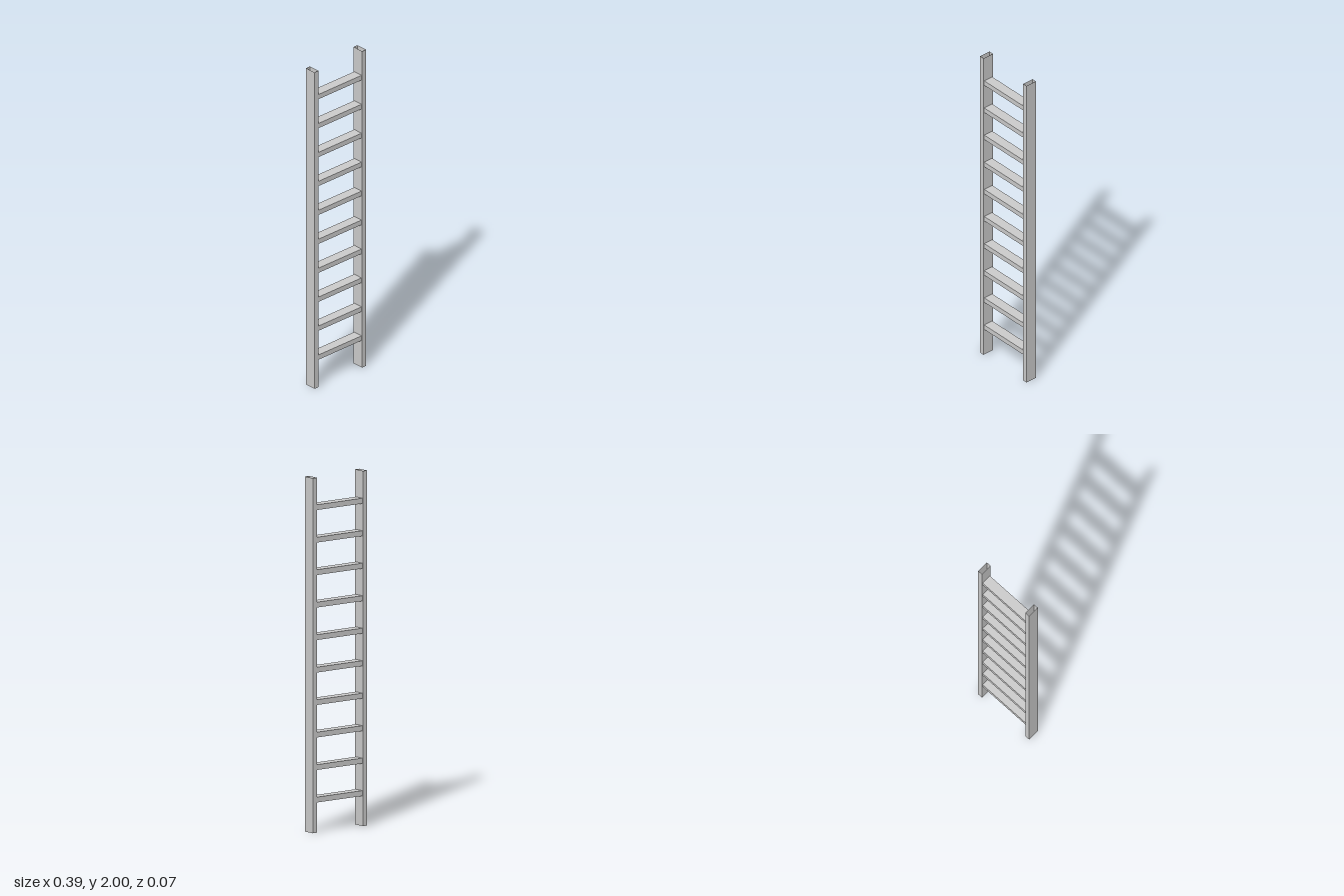
import * as THREE from 'three';

const HEIGHT = 2, RUNGS = 10, FIRST_RUNG = 0.184, RUNG_STEP = 0.183;

// Open-ended rectangular tube along y
function boxTube(width, length, depth) {
  return new THREE.CylinderGeometry(Math.SQRT1_2, Math.SQRT1_2, 1, 4, 1, true)
    .rotateY(Math.PI / 4)
    .scale(width, length, depth);
}

export function createModel() {
  const ladder = new THREE.Group();
  ladder.name = 'ladder';
  const material = new THREE.MeshStandardMaterial({
    color: 0xcccccc, flatShading: true, side: THREE.DoubleSide,
  });

  // Two upright rails, hollow and open at both ends
  const railGeometry = boxTube(0.029, HEIGHT, 0.069);
  for (const side of [-1, 1]) {
    const rail = new THREE.Mesh(railGeometry, material);
    rail.name = side > 0 ? 'leftRail' : 'rightRail';
    rail.position.set(side * 0.18, HEIGHT / 2, 0);
    ladder.add(rail);
  }

  // Rungs, with their ends reaching into the rails
  const rungGeometry = boxTube(0.03, 0.348, 0.059).rotateZ(Math.PI / 2);
  for (let i = 0; i < RUNGS; i++) {
    const rung = new THREE.Mesh(rungGeometry, material);
    rung.name = `rung${i + 1}`;
    rung.position.y = FIRST_RUNG + i * RUNG_STEP;
    ladder.add(rung);
  }
  return ladder;
}
